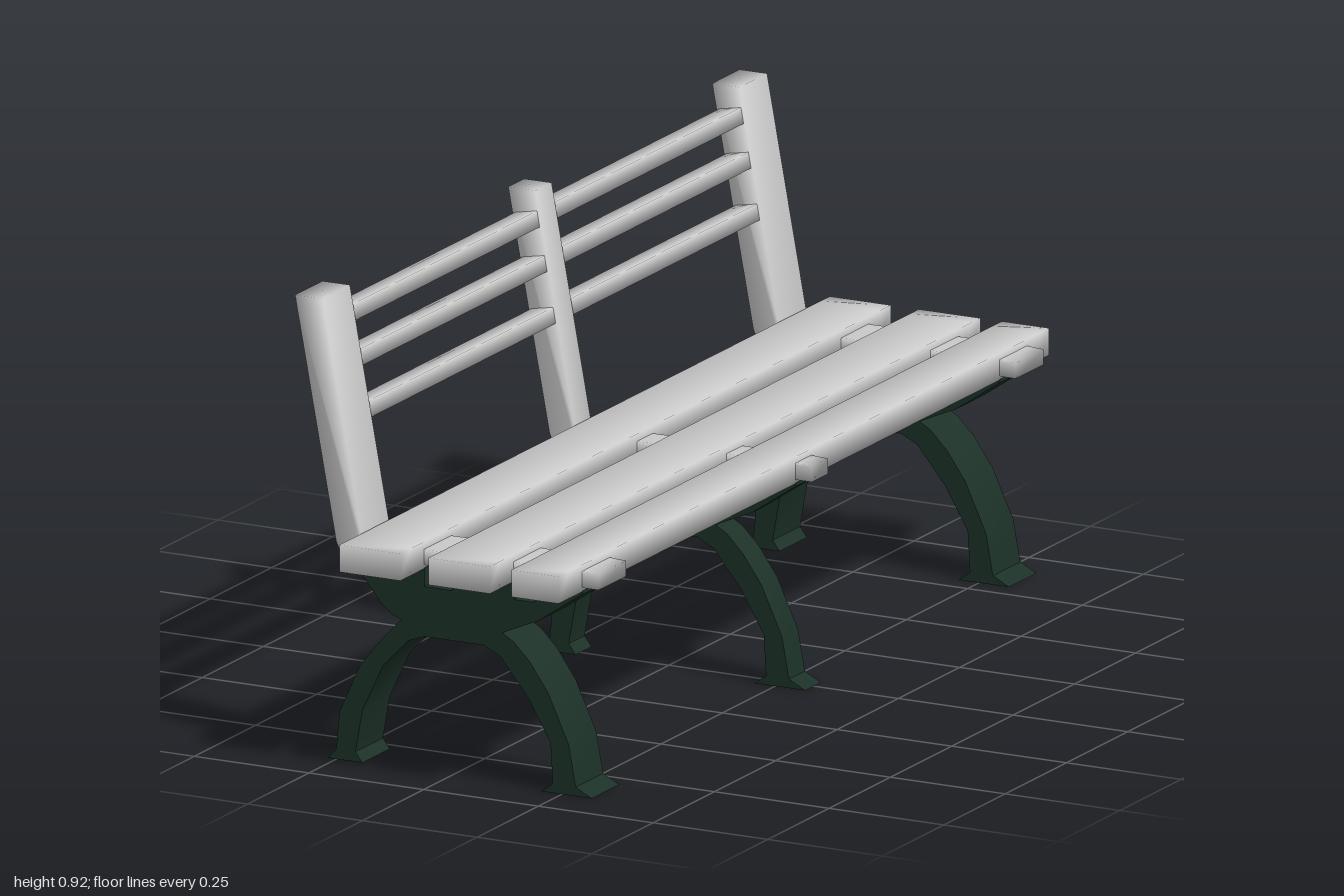
import * as THREE from 'three';
import { mergeVertices, toCreasedNormals } from 'three/addons/utils/BufferGeometryUtils.js';

const wood = new THREE.MeshStandardMaterial({ color: 0xcccccc });
const iron = new THREE.MeshStandardMaterial({ color: 0x1b3026 });

// Weld corners so shading rolls softly over every edge
function soften(geometry) {
  geometry.deleteAttribute('normal');
  geometry.deleteAttribute('uv');
  const welded = mergeVertices(geometry, 1e-4);
  welded.computeVertexNormals();
  return welded;
}

// Plank along z, with a loop close to each end
function plankGeometry(width, height, length) {
  const g = new THREE.BoxGeometry(width, height, length, 1, 1, 3);
  const p = g.attributes.position;
  for (let i = 0; i < p.count; i++) {
    const z = p.getZ(i);
    if (Math.abs(z) < length * 0.4) p.setZ(i, Math.sign(z) * (length / 2 - 0.04));
  }
  return soften(g);
}

// Side outline extruded across z and centred
function slab(points, depth) {
  const shape = new THREE.Shape(points.map(([x, y]) => new THREE.Vector2(x, y)));
  const g = new THREE.ExtrudeGeometry(shape, { depth, bevelEnabled: false });
  return g.translate(0, 0, -depth / 2);
}

function add(parent, name, geometry, material, x = 0, y = 0, z = 0) {
  const mesh = new THREE.Mesh(geometry, material);
  mesh.name = name;
  mesh.position.set(x, y, z);
  parent.add(mesh);
  return mesh;
}

// Notched cradle and two arched legs with flared feet
const legOutline = [
  [-0.215, 0.415], [-0.14, 0.325], [-0.12, 0.31], [-0.1, 0.303], [-0.145, 0.255],
  [-0.19, 0.2], [-0.235, 0.1], [-0.242, 0.025], [-0.26, 0.005], [-0.185, 0.005],
  [-0.2, 0.025], [-0.185, 0.11], [-0.14, 0.205], [-0.085, 0.262], [-0.05, 0.275],
  [0.08, 0.275], [0.115, 0.258], [0.175, 0.185], [0.225, 0.1], [0.23, 0.018],
  [0.205, 0], [0.315, 0], [0.28, 0.018], [0.265, 0.1], [0.22, 0.198],
  [0.18, 0.255], [0.145, 0.29], [0.12, 0.305], [0.2, 0.34], [0.295, 0.405],
  [0.295, 0.412], [0.19, 0.412], [0.19, 0.375], [0.145, 0.375], [0.145, 0.412],
  [0.01, 0.412], [0.01, 0.375], [-0.05, 0.375], [-0.05, 0.412],
];

// Leaning back post
const postOutline = [
  [-0.332, 0.92], [-0.242, 0.44], [-0.235, 0.425], [-0.22, 0.418],
  [-0.183, 0.416], [-0.185, 0.45], [-0.272, 0.92],
];

// Bearer running forward under the seat slats
const bearerOutline = [
  [-0.2, 0.418], [0.33, 0.418], [0.33, 0.449], [0.3, 0.451], [-0.2, 0.448],
];

export function createModel() {
  const bench = new THREE.Group();
  bench.name = 'bench';

  // Three frames: wide at the ends, narrow in the middle
  const frames = [['end', 0.848, 0.112], ['middle', 0.002, 0.065], ['end', -0.853, 0.112]];
  for (const [kind, z, width] of frames) {
    const frame = new THREE.Group();
    frame.name = kind + 'Frame';
    frame.position.z = z;
    add(frame, 'legs', toCreasedNormals(slab(legOutline, width), 0.7), iron);
    add(frame, 'backPost', soften(slab(postOutline, width)), wood);
    add(frame, 'seatBearer', soften(slab(bearerOutline, width)), wood);
    bench.add(frame);
  }

  // Seat slats
  for (const [x0, x1] of [[-0.184, -0.051], [0.01, 0.144], [0.191, 0.294]]) {
    add(bench, 'seatSlat', plankGeometry(x1 - x0, 0.054, 2), wood, (x0 + x1) / 2, 0.437);
  }

  // Back rails, tilted with the posts
  for (const y of [0.86, 0.773, 0.672]) {
    const x = -0.301 + (0.92 - y) * 0.186;
    const rail = add(bench, 'backRail', plankGeometry(0.048, 0.032, 1.62), wood, x, y);
    rail.rotation.z = 0.184;
  }
  return bench;
}
